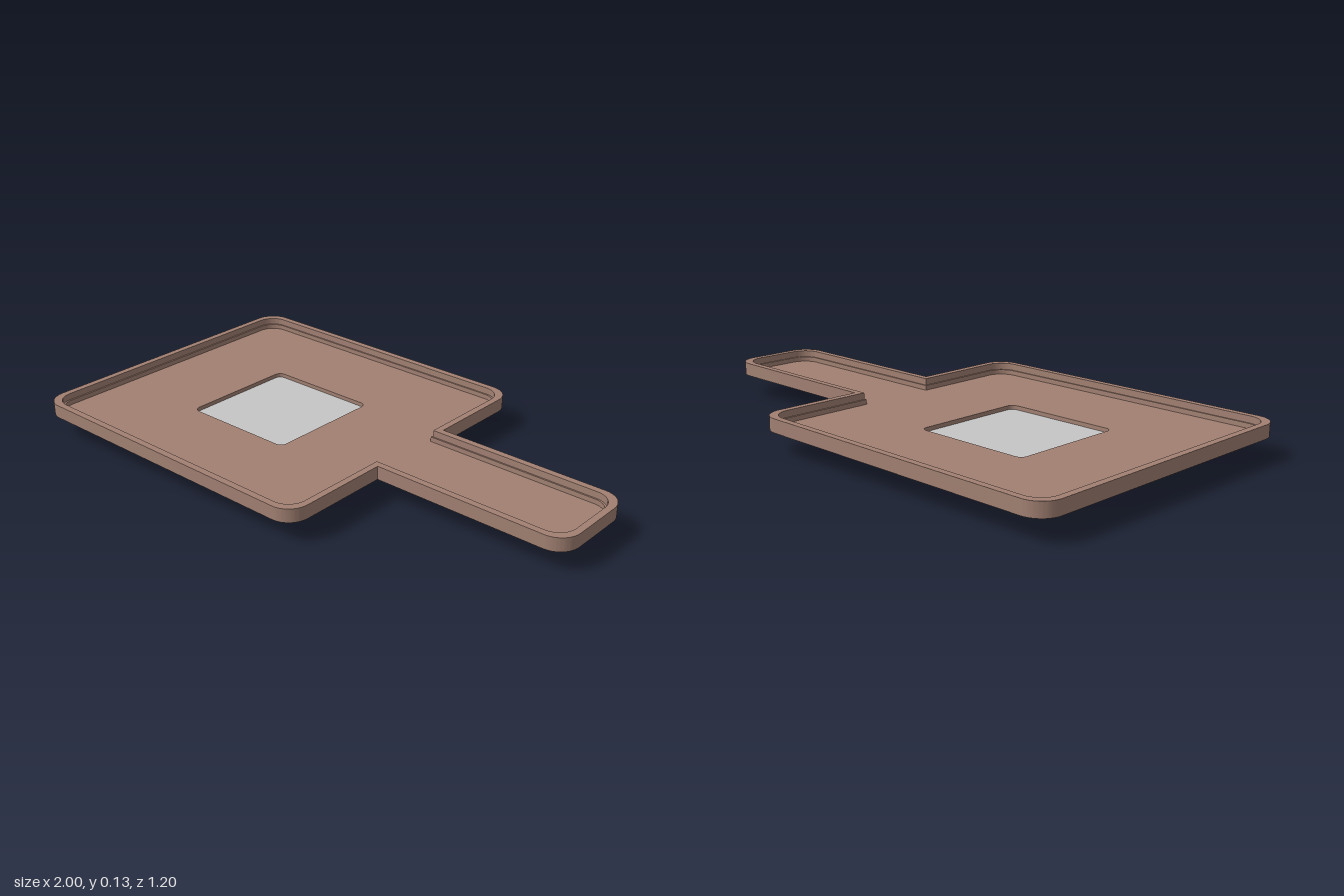
import * as THREE from 'three';
import { toCreasedNormals } from 'three/addons/utils/BufferGeometryUtils.js';

const paint = (name, color) => {
  const m = new THREE.MeshStandardMaterial({ color });
  m.name = name;
  return m;
};

// Paddle outline: square plate plus handle, pulled inwards by d
function paddle(d, T = THREE.Shape) {
  const l = -1 + d, e = 0.267 - d, t = 1 - d, w = 0.598 - d, h = 0.179 - d;
  const r = 0.08 - d * 0.4;
  const s = new T();
  s.moveTo(l + r, -w);
  s.lineTo(e - r, -w);
  s.absarc(e - r, -w + r, r, -Math.PI / 2, 0);
  s.lineTo(e, -h);
  s.lineTo(t - r, -h);
  s.absarc(t - r, -h + r, r, -Math.PI / 2, 0);
  s.absarc(t - r, h - r, r, 0, Math.PI / 2);
  s.lineTo(e, h);
  s.absarc(e - r, w - r, r, 0, Math.PI / 2);
  s.absarc(l + r, w - r, r, Math.PI / 2, Math.PI);
  s.absarc(l + r, -w + r, r, Math.PI, Math.PI * 1.5);
  s.closePath();
  return s;
}

// Rounded square centred on the stem
const CX = -0.363;
function square(a, r, T = THREE.Shape) {
  const s = new T();
  s.absarc(CX + a - r, -a + r, r, -Math.PI / 2, 0);
  s.absarc(CX + a - r, a - r, r, 0, Math.PI / 2);
  s.absarc(CX - a + r, a - r, r, Math.PI / 2, Math.PI);
  s.absarc(CX - a + r, -a + r, r, Math.PI, Math.PI * 1.5);
  s.closePath();
  return s;
}

// Cut an opening in a shape
function cut(shape, hole) {
  shape.holes.push(hole);
  return shape;
}

// Extrude a plan shape upwards from y0 to y1
function slab(name, shape, y0, y1, material) {
  const g = new THREE.ExtrudeGeometry(shape, {
    depth: y1 - y0, curveSegments: 10, bevelEnabled: false,
  });
  g.rotateX(-Math.PI / 2);
  g.translate(0, y0, 0);
  const mesh = new THREE.Mesh(toCreasedNormals(g, 0.5), material);
  mesh.name = name;
  return mesh;
}

export function createModel() {
  const brown = paint('brown', 0xa18072);
  const lightGrey = paint('light grey', 0xc6c6c6);
  const darkGrey = paint('dark grey', 0x5f5b57);
  const teal = paint('dark teal', 0x264653);
  const navy = paint('deep blue', 0x07344f);
  const group = new THREE.Group();
  group.name = 'paddleTray';

  // Tray: outer rim, low inner step, and thin floor with a square opening
  const opening = () => square(0.227, 0.025, THREE.Path);
  group.add(
    slab('rim', cut(paddle(0), paddle(0.025, THREE.Path)), 0.08, 0.13, brown),
    slab('innerStep', cut(paddle(0.024), paddle(0.031, THREE.Path)), 0.081, 0.105, brown),
    slab('floor', cut(paddle(0.024), opening()), 0.0805, 0.087, brown),
    slab('openingLip', cut(square(0.231, 0.029), opening()), 0.069, 0.086, brown),
  );

  // Pad sunk in the opening and the flange under the floor
  group.add(
    slab('pad', square(0.2275, 0.025), 0.062, 0.072, lightGrey),
    slab('flange', cut(square(0.293, 0.004), square(0.229, 0.027, THREE.Path)), 0.0795, 0.082, lightGrey),
  );

  // Stem with a flared collar, a coloured foot and a sole plate
  group.add(
    slab('collar', cut(square(0.235, 0.033), square(0.2295, 0.0275, THREE.Path)), 0.072, 0.08, darkGrey),
    slab('stem', square(0.228, 0.03), 0.03, 0.07, darkGrey),
    slab('foot', square(0.228, 0.03), 0.002, 0.03, teal),
    slab('sole', square(0.228, 0.03), 0, 0.002, navy),
  );
  return group;
}
